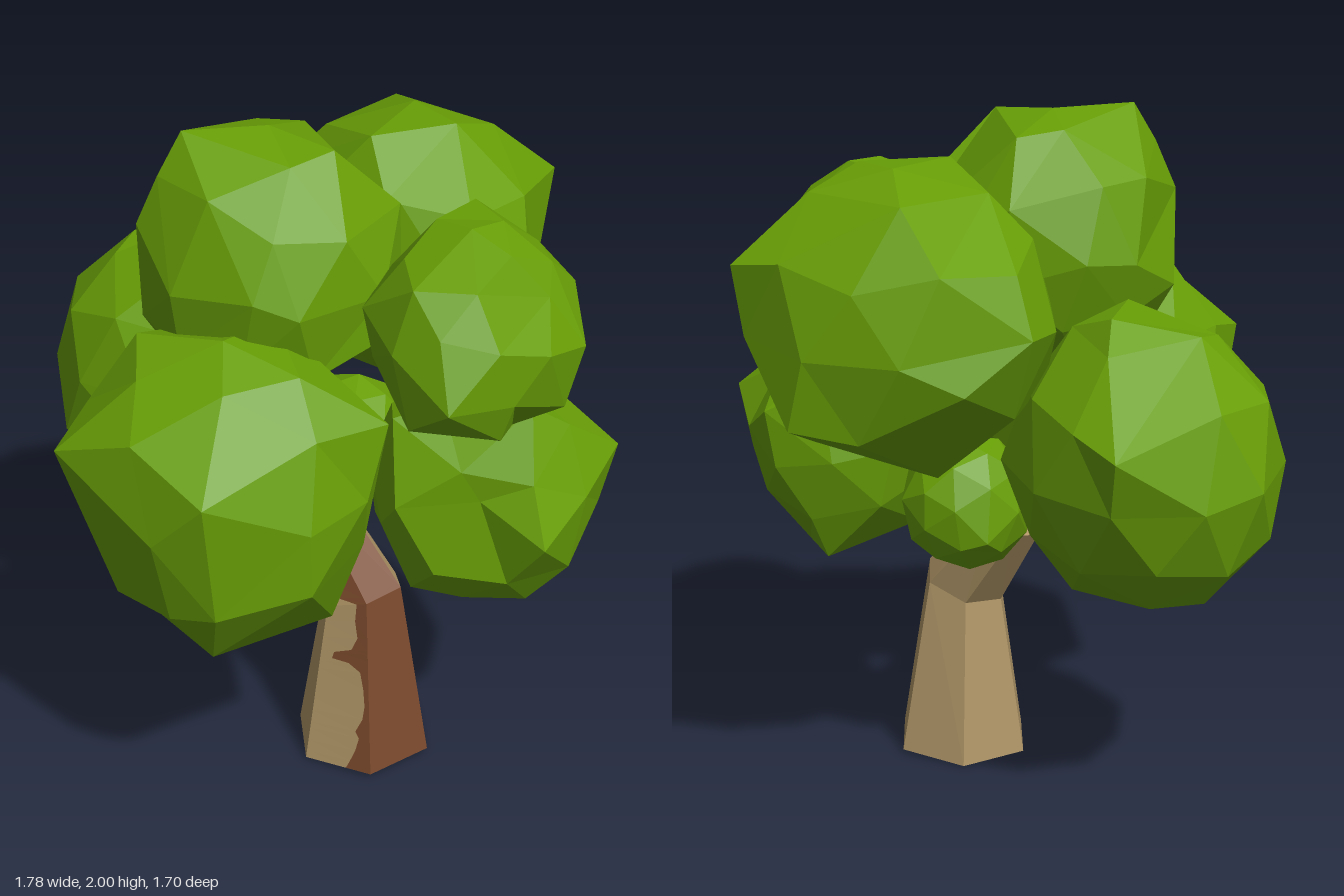
import * as THREE from 'three';
import { mergeVertices } from 'three/addons/utils/BufferGeometryUtils.js';

const flat = (name, color, extra = {}) =>
  Object.assign(new THREE.MeshStandardMaterial({ color, flatShading: true, ...extra }), { name });

function seeded(seed) {
  return () => {
    seed = (seed * 16807) % 2147483647;
    return seed / 2147483647;
  };
}

// Faceted leaf clump: a jittered ellipsoid drawn out (or in) to a few corner points
function clump(seed, center, radii, corners) {
  let g = new THREE.IcosahedronGeometry(1, 1);
  g.deleteAttribute('normal');
  g.deleteAttribute('uv');
  g = mergeVertices(g, 1e-4);
  const rnd = seeded(seed * 7919 + 13);
  g.rotateX(rnd() * 6).rotateY(rnd() * 6);
  const c = new THREE.Vector3(...center), r = new THREE.Vector3(...radii);
  const targets = corners.map((q) => new THREE.Vector3(...q).sub(c).divide(r));
  const p = g.attributes.position, dirs = [], verts = [];
  for (let i = 0; i < p.count; i++) {
    const d = new THREE.Vector3().fromBufferAttribute(p, i).normalize();
    const base = 0.96 + rnd() * 0.07;
    let sum = 0, pull = 0;
    for (const t of targets) {
      const w = Math.exp(-((d.angleTo(t) / 0.33) ** 2));
      sum += w;
      pull += w * (t.length() - base);
    }
    dirs.push(d);
    verts.push(d.clone().multiplyScalar(base + pull / Math.max(1, sum)));
  }
  // Move the nearest free vertex onto each corner
  const used = new Set();
  for (const t of targets) {
    let best = -1;
    dirs.forEach((d, i) => {
      if (!used.has(i) && (best < 0 || d.angleTo(t) < dirs[best].angleTo(t))) best = i;
    });
    used.add(best);
    verts[best].copy(t);
  }
  verts.forEach((v, i) => {
    v.multiply(r).add(c);
    p.setXYZ(i, v.x, v.y, v.z);
  });
  const out = g.toNonIndexed();
  out.computeVertexNormals();
  return out;
}

// Hexagonal trunk rings: centre x, y, z, radius, and rise of y per unit of x
const RINGS = [
  [0.255, 0.01, 0, 0.215, 0.04],
  [0.24, 0.54, 0, 0.125, 0.37],
  [0.025, 0.79, -0.01, 0.085, 0.47],
];
function corner(ring, side) {
  const [x, y, z, r, tilt] = RINGS[ring];
  const a = THREE.MathUtils.degToRad(44 + 60 * side), dx = Math.cos(a) * r;
  return new THREE.Vector3(x + dx, y + dx * tilt, z + Math.sin(a) * r);
}
// Point on a trunk side: t runs across the side, v runs up through the rings
function onSide(side, t, v) {
  const i = Math.min(Math.floor(v), RINGS.length - 2);
  const low = corner(i, side).lerp(corner(i, side + 1), t);
  const high = corner(i + 1, side).lerp(corner(i + 1, side + 1), t);
  return low.lerp(high, v - i);
}
// Band of one side; each row is [v, t0, t1]
function addBand(out, side, rows) {
  for (let i = 0; i + 1 < rows.length; i++) {
    const [v0, a0, b0] = rows[i], [v1, a1, b1] = rows[i + 1];
    const a = onSide(side, a0, v0), b = onSide(side, b0, v0);
    const c = onSide(side, b1, v1), d = onSide(side, a1, v1);
    for (const q of [a, c, b, a, d, c]) out.push(q.x, q.y, q.z);
  }
}
// One triangle of an end cap, fanned from corner 3
function addCapTriangle(out, ring, s, up) {
  const tri = [corner(ring, 3), corner(ring, s), corner(ring, s + 1)];
  if (up) tri.reverse();
  for (const q of tri) out.push(q.x, q.y, q.z);
}
function toGeometry(points) {
  const g = new THREE.BufferGeometry();
  g.setAttribute('position', new THREE.Float32BufferAttribute(points, 3));
  g.computeVertexNormals();
  return g;
}

export function createModel() {
  const root = new THREE.Group();
  root.name = 'tree';
  const leaf = flat('leaf green', 0x689e06);
  const bark = flat('light bark', 0xb09667, { side: THREE.DoubleSide });
  const dark = flat('dark bark', 0x7a492c, { side: THREE.DoubleSide });
  const add = (name, geometry, material) => {
    const m = new THREE.Mesh(geometry, material);
    m.name = name;
    root.add(m);
  };

  // Trunk: side 0 is ragged dark bark beside light, side 5 fully dark
  const light = [], brown = [];
  const whole = [[0, 0, 1], [1, 0, 1], [2, 0, 1]];
  const edge = [
    [0, 0.38], [0.05, 0.32], [0.12, 0.24], [0.2, 0.18], [0.24, 0.24], [0.32, 0.12], [0.4, 0.08],
    [0.5, 0.1], [0.6, 0.16], [0.65, 0.4], [0.67, 0.75], [0.71, 0.72], [0.73, 0.35], [0.8, 0.22],
    [0.9, 0.28], [1, 0.25], [1.06, 0.6], [1.2, 0.65], [1.35, 0.6], [1.6, 0.3], [2, 0.2],
  ];
  addBand(brown, 0, edge.map(([v, t]) => [v, 0, t]));
  addBand(light, 0, edge.map(([v, t]) => [v, t, 1]));
  for (let s = 1; s < 5; s++) addBand(light, s, whole);
  addBand(brown, 5, whole);
  for (const s of [4, 5, 6, 7]) {
    addCapTriangle(s === 7 ? brown : light, 0, s, false);
    addCapTriangle(light, 2, s, true);
  }
  add('trunk', toGeometry(light), bark);
  add('trunkDarkBark', toGeometry(brown), dark);

  // Leaf clumps: seed, centre, radii, corner points
  add('sideClump', clump(3, [-0.49, 1.08, -0.01], [0.4, 0.41, 0.38], [
    [-0.89, 1.07, 0], [-0.82, 1.29, -0.1], [-0.72, 1.2, -0.4], [-0.48, 1.5, -0.15],
    [-0.32, 1.49, 0.1], [-0.7, 0.71, 0], [-0.2, 0.67, 0], [-0.65, 0.9, 0.34], [-0.28, 0.95, 0.37],
    [-0.65, 1.45, 0.02],
  ]), leaf);
  add('frontClump', clump(4, [0.13, 1.11, 0.45], [0.42, 0.43, 0.39], [
    [-0.12, 1.26, 0.85], [0.39, 1.27, 0.82], [0.39, 0.91, 0.78], [0, 0.82, 0.76],
    [0.28, 0.69, 0.68], [-0.22, 0.86, 0.6], [-0.1, 1.5, 0.55], [0.17, 1.55, 0.5],
    [0.55, 1.35, 0.28], [0.54, 0.95, 0.57], [-0.29, 1.09, 0.42], [0.38, 0.67, 0.3],
    [0.39, 1.5, 0.45], [0.15, 1.52, 0.28], [0.12, 0.76, 0.16], [0.14, 1.36, 0.82],
  ]), leaf);
  add('topClump', clump(5, [0.01, 1.6, 0.16], [0.36, 0.4, 0.36], [
    [-0.13, 2, 0.33], [0.22, 1.975, 0.12], [0, 1.99, 0.13], [-0.05, 1.93, -0.07],
    [0.38, 1.6, 0.1], [-0.35, 1.59, 0.1], [0, 1.63, 0.52], [-0.31, 1.82, 0.18],
    [0.23, 1.65, 0.45], [-0.2, 1.75, 0.44], [0.3, 1.79, -0.06], [0.28, 1.62, -0.2],
    [-0.13, 1.75, -0.18], [0.37, 1.46, 0.12], [0, 1.45, 0.49],
  ]), leaf);
  add('backClump', clump(6, [0.03, 1.47, -0.44], [0.45, 0.41, 0.4], [
    [0.27, 1.64, -0.83], [0.03, 1.23, -0.85], [0.2, 1.88, -0.43], [0.08, 1.88, -0.2],
    [-0.17, 1.82, -0.62], [-0.38, 1.35, -0.6], [-0.45, 1.48, -0.42], [0.49, 1.45, -0.42],
    [0.36, 1.4, -0.63], [-0.15, 1.06, -0.48], [0.15, 1.14, -0.66], [-0.17, 1.82, -0.3],
  ]), leaf);
  add('upperLeftClump', clump(7, [0.58, 1.55, -0.03], [0.27, 0.26, 0.3], [
    [0.57, 1.47, -0.4], [0.75, 1.45, 0.29], [0.84, 1.5, -0.18], [0.57, 1.81, -0.02],
    [0.46, 1.81, -0.18], [0.78, 1.31, 0.1], [0.38, 1.6, 0.19], [0.77, 1.65, -0.1],
    [0.57, 1.72, 0.22], [0.6, 1.34, 0.26], [0.82, 1.33, -0.13], [0.33, 1.45, 0.02],
  ]), leaf);
  add('lowerLeftClump', clump(8, [0.55, 0.98, -0.16], [0.33, 0.33, 0.33], [
    [0.54, 1.12, -0.52], [0.85, 1.12, -0.37], [0.89, 0.97, 0.02], [0.73, 0.66, -0.14],
    [0.46, 0.65, -0.36], [0.74, 1.31, -0.1], [0.5, 0.72, 0.1], [0.69, 1.06, 0.05],
    [0.4, 1.2, -0.42], [0.84, 0.8, -0.18], [0.5, 1.02, 0.18], [0.42, 1.24, 0.1],
  ]), leaf);
  add('smallInnerClump', clump(9, [0.02, 0.89, -0.2], [0.19, 0.2, 0.2], [
    [0.01, 0.69, -0.19], [-0.15, 0.82, -0.29], [0.08, 0.8, -0.37],
  ]), leaf);

  return root;
}
